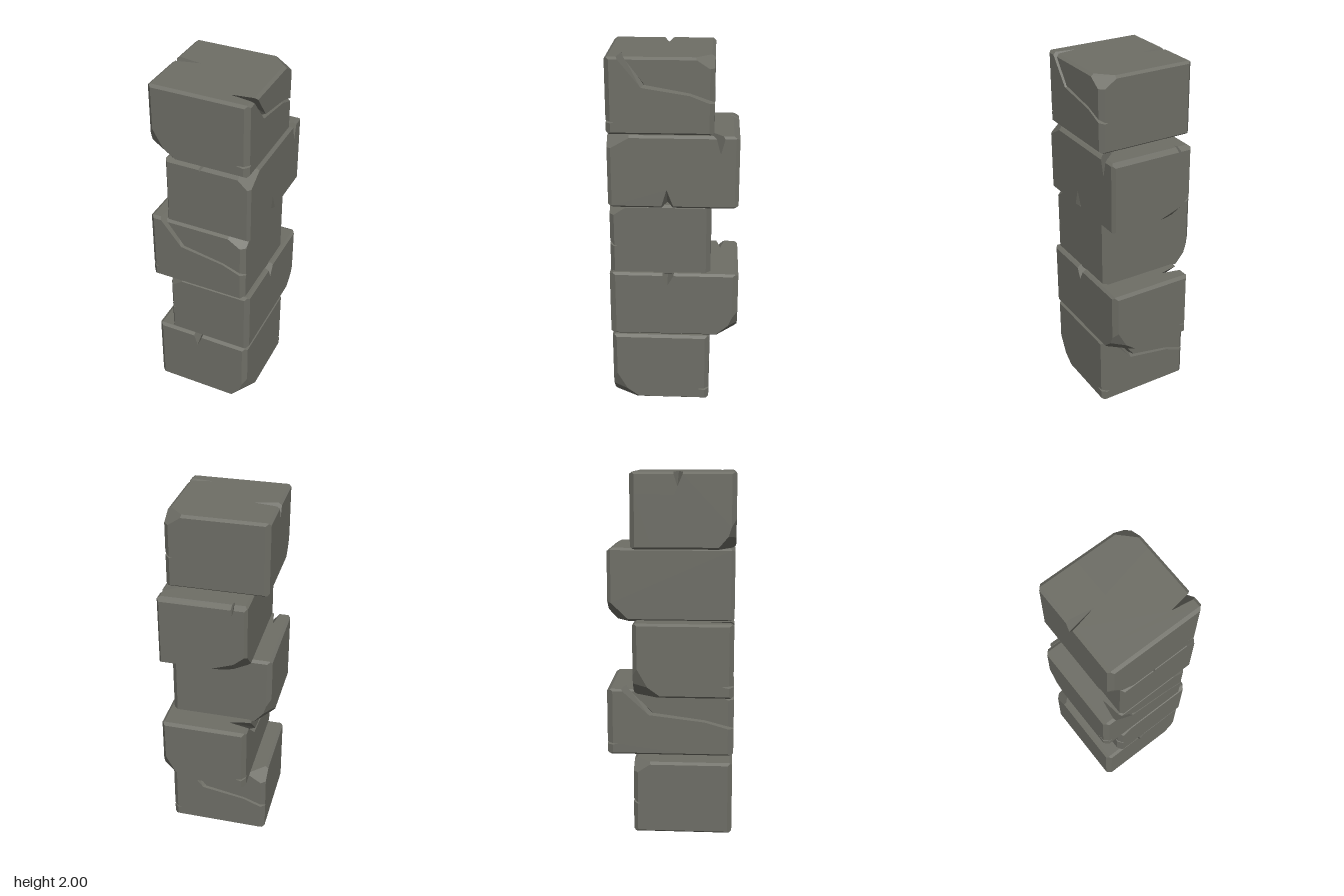
import * as THREE from 'three';
import { ConvexGeometry } from 'three/addons/geometries/ConvexGeometry.js';

const V = (x, y, z) => new THREE.Vector3(x, y, z);
const EPS = 1e-7;

// Split a convex polygon by a plane into its part behind and its part in front
function split(poly, plane) {
  const d = poly.map(p => plane.distanceToPoint(p));
  if (d.every(v => v <= EPS)) return [poly, null];
  if (d.every(v => v >= -EPS)) return [null, poly];
  const back = [], front = [];
  poly.forEach((p, i) => {
    const j = (i + 1) % poly.length;
    if (d[i] <= EPS) back.push(p);
    if (d[i] >= -EPS) front.push(p);
    if ((d[i] < -EPS && d[j] > EPS) || (d[i] > EPS && d[j] < -EPS)) {
      const m = p.clone().lerp(poly[j], d[i] / (d[i] - d[j]));
      back.push(m);
      front.push(m);
    }
  });
  return [back, front];
}

// Part of a polygon inside a convex solid
function inside(poly, planes) {
  for (const pl of planes) {
    if (!poly) return null;
    poly = split(poly, pl)[0];
  }
  return poly;
}

// Parts of a polygon outside a convex solid
function outside(poly, planes) {
  if (!inside(poly, planes)) return [poly];
  const kept = [];
  for (const pl of planes) {
    const [back, front] = split(poly, pl);
    if (front) kept.push(front);
    if (!back) break;
    poly = back;
  }
  return kept;
}

// Convex cutter from a few points
function cutter(points) {
  const pos = new ConvexGeometry(points).getAttribute('position');
  const faces = [];
  for (let i = 0; i < pos.count; i += 3) {
    faces.push([0, 1, 2].map(k => V().fromBufferAttribute(pos, i + k)));
  }
  return { faces, planes: faces.map(f => new THREE.Plane().setFromCoplanarPoints(...f)) };
}

// Plane cutting a corner (signs s) at the given distances along the three edges
function chip(s, cut) {
  const n = V(s[0] / cut[0], s[1] / cut[1], s[2] / cut[2]);
  return new THREE.Plane(n, 1 - cut.reduce((t, c) => t + 1 / c, 0)).normalize();
}

// Weathered stone in a -1..1 cube: crack on +z, notch at the top of -z
function stoneGeometry() {
  const planes = [];
  // Flat sides and bevelled edges
  for (let x = -1; x <= 1; x++) for (let y = -1; y <= 1; y++) for (let z = -1; z <= 1; z++) {
    const n = Math.abs(x) + Math.abs(y) + Math.abs(z);
    if (n === 1) planes.push(new THREE.Plane(V(x, y, z), -1));
    if (n === 2) planes.push(new THREE.Plane(V(x, y, z), -(y === 0 ? 1.91 : 1.94)).normalize());
  }
  // Broken corners
  planes.push(chip([1, 1, 1], [0.4, 0.36, 0.4]));
  planes.push(chip([-1, -1, -1], [0.22, 1.0, 0.42]));
  planes.push(chip([-1, -1, -1], [0.36, 0.58, 0.6]));

  // Long crack: x, y, half width (x, y), depth
  const path = [
    [-0.76, 1.08, 0.06, 0.03, 0.5],
    [-0.30, 0.27, 0.035, 0.045, 0.15],
    [0.55, 0.07, 0.005, 0.04, 0.12],
    [1.05, -0.19, 0.02, 0.045, 0.15],
  ];
  const section = ([x, y, wx, wy, depth]) =>
    [V(x - wx, y - wy, 1.02), V(x + wx, y + wy, 1.02), V(x, y, 1 - depth)];
  const cutters = [];
  for (let i = 0; i < path.length - 1; i++) {
    cutters.push(cutter([...section(path[i]), ...section(path[i + 1])]));
  }
  // Top notch
  cutters.push(cutter([
    V(-0.03, 1.03, -1.03), V(0.2, 1.03, -1.03),
    V(0.1, 1.01, -0.46), V(0.1, 0.62, -1.01), V(0.12, 0.85, -0.8),
  ]));
  // Small slit in the side edge
  cutters.push(cutter([
    V(-1.03, -0.62, 1.03), V(-1.03, -0.75, 1.03),
    V(-0.83, -0.67, 1.01), V(-1.01, -0.67, 0.74),
  ]));

  // Stone faces, minus the cutters
  let polys = [];
  for (const pl of planes) {
    const q = new THREE.Quaternion().setFromUnitVectors(V(0, 0, 1), pl.normal);
    const base = pl.coplanarPoint(V());
    const quad = [[-4, -4], [4, -4], [4, 4], [-4, 4]]
      .map(([a, b]) => V(a, b, 0).applyQuaternion(q).add(base));
    const face = inside(quad, planes.filter(p => p !== pl));
    if (face) polys.push(face);
  }
  for (const c of cutters) polys = polys.flatMap(p => outside(p, c.planes));

  // Inner walls of the cracks
  for (const c of cutters) for (const f of c.faces) {
    const wall = inside(f, planes);
    let parts = wall ? [wall] : [];
    for (const o of cutters) if (o !== c) parts = parts.flatMap(p => outside(p, o.planes));
    polys.push(...parts.map(p => p.slice().reverse()));
  }

  const pts = [];
  for (const p of polys) for (let i = 1; i < p.length - 1; i++) pts.push(p[0], p[i], p[i + 1]);
  const geo = new THREE.BufferGeometry().setFromPoints(pts);
  geo.computeVertexNormals();
  return geo;
}

export function createModel() {
  const group = new THREE.Group();
  group.name = 'stonePillar';
  const geo = stoneGeometry();
  const mat = new THREE.MeshStandardMaterial({ color: 0x6e6e66, flatShading: true });
  const turn = a => new THREE.Quaternion().setFromAxisAngle(V(0, 1, 0), a);
  const tipped = new THREE.Quaternion().setFromRotationMatrix(
    new THREE.Matrix4().makeBasis(V(0, 0, 1), V(1, 0, 0), V(0, 1, 0)));

  // The same stone, turned and stretched: centre, half size, rotation
  const stones = [
    ['bottomStone', [0.003, 0.207, 0.075], [0.282, 0.207, 0.275], turn(Math.PI)],
    ['lowerStone', [0.05, 0.618, 0], [0.355, 0.19, 0.242], turn(-Math.PI / 2)],
    ['middleStone', [-0.016, 0.995, 0.075], [0.281, 0.205, 0.275], turn(0)],
    ['upperStone', [0.05, 1.395, 0.003], [0.348, 0.24, 0.2], tipped],
    ['topStone', [0.004, 1.798, 0.072], [0.282, 0.202, 0.275], turn(Math.PI / 2)],
  ];
  for (const [name, centre, half, rotation] of stones) {
    const mesh = new THREE.Mesh(geo, mat);
    mesh.name = name;
    mesh.position.set(...centre);
    mesh.scale.set(...half);
    mesh.quaternion.copy(rotation);
    group.add(mesh);
  }
  return group;
}
